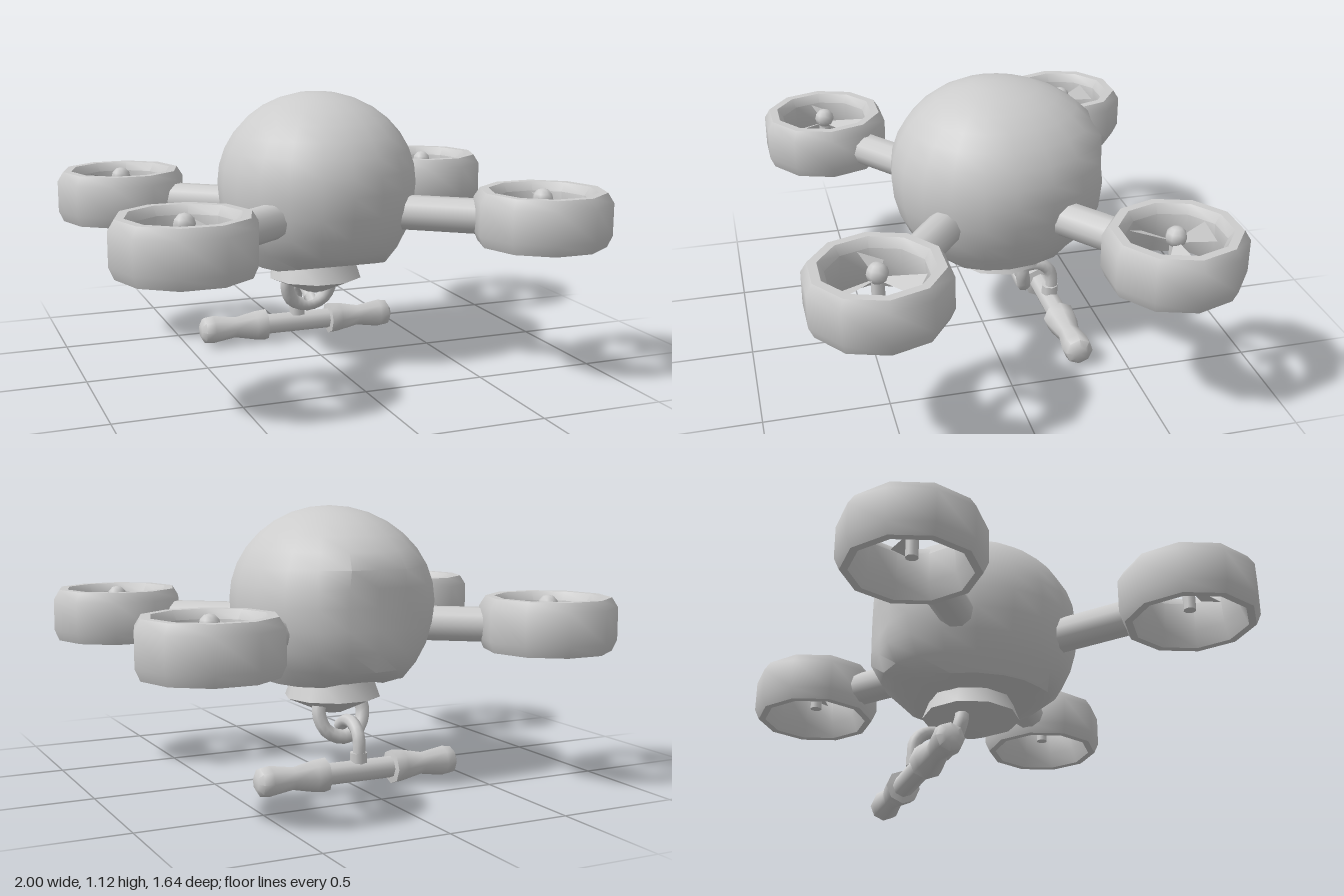
import * as THREE from 'three';
import { mergeVertices, toCreasedNormals } from 'three/addons/utils/BufferGeometryUtils.js';

const gray = new THREE.MeshStandardMaterial({ color: 0xcccccc, side: THREE.DoubleSide });
gray.name = 'light gray';

function part(name, geometry, parent) {
  const mesh = new THREE.Mesh(geometry, gray);
  mesh.name = name;
  parent.add(mesh);
  return mesh;
}

// Turned part from [radius, height] pairs, running bottom to top on the outside
function lathe(profile, sides, phase = 0, crease = 0.9) {
  const points = profile.map(([r, y]) => new THREE.Vector2(r, y));
  return toCreasedNormals(new THREE.LatheGeometry(points, sides, phase), crease);
}

function tube(points, radius, segments) {
  const curve = new THREE.CatmullRomCurve3(points.map((p) => new THREE.Vector3(...p)));
  return new THREE.TubeGeometry(curve, segments, radius, 8);
}

// Egg-shaped hull, cut flat at the back and underneath
function bodyGeometry() {
  let geo = new THREE.SphereGeometry(1, 20, 16);
  geo.deleteAttribute('uv');
  geo.deleteAttribute('normal');
  geo = mergeVertices(geo, 1e-4);
  const pos = geo.attributes.position;
  for (let i = 0; i < pos.count; i++) {
    const x = pos.getX(i) * 0.412;
    const ny = pos.getY(i), nz = pos.getZ(i);
    const z = Math.max(-0.04 + nz * (nz > 0 ? 0.42 : 0.49), -0.47);
    const floor = 0.415 + 0.25 * Math.max(0, z - 0.1) + 0.4 * Math.max(0, -z - 0.26);
    const y = Math.max(0.75 + ny * (ny > 0 ? 0.38 : 0.46), floor);
    pos.setXYZ(i, x, y, z);
  }
  geo.computeVertexNormals();
  return toCreasedNormals(geo, 0.75);
}

// Ducted rotor with its hub and three pitched blades
function rotor(name, spin) {
  const group = new THREE.Group();
  group.name = name;
  part('ductRing', lathe([
    [0.225, 0.555], [0.255, 0.555], [0.275, 0.6], [0.275, 0.73], [0.25, 0.77],
    [0.215, 0.77], [0.19, 0.735], [0.2, 0.62], [0.225, 0.555],
  ], 10, Math.PI / 2), group);
  part('hubStem', new THREE.CylinderGeometry(0.025, 0.025, 0.12, 8).translate(0, 0.67, 0), group);
  part('hubCap', new THREE.SphereGeometry(0.042, 8, 6).translate(0, 0.735, 0), group);

  const outline = new THREE.Shape([
    new THREE.Vector2(0.02, -0.012), new THREE.Vector2(0.16, -0.052),
    new THREE.Vector2(0.17, 0.05), new THREE.Vector2(0.02, 0.012),
  ]);
  for (let i = 0; i < 3; i++) {
    const geo = new THREE.ShapeGeometry(outline).rotateX(-Math.PI / 2 + 0.4);
    const blade = part('blade', geo, group);
    blade.position.y = 0.715;
    blade.rotation.y = -(spin + i * 120) * Math.PI / 180;
  }
  return group;
}

export function createModel() {
  const model = new THREE.Group();
  model.name = 'drone';

  part('body', bodyGeometry(), model);

  // Underside mount
  const mount = lathe([[0, 0.275], [0.05, 0.28], [0.2, 0.345], [0.165, 0.44]], 10, Math.PI / 2);
  part('mount', mount, model).position.z = -0.07;

  // Four arms, each carrying a rotor
  const corners = [
    ['backRight', -1, -1, 5], ['backLeft', 1, -1, 15],
    ['frontRight', -1, 1, 62], ['frontLeft', 1, 1, 60],
  ];
  for (const [name, sx, sz, spin] of corners) {
    const unit = rotor(name + 'Rotor', spin);
    unit.position.set(sx * 0.725, 0, sz * 0.56);
    model.add(unit);

    const arm = part(name + 'Arm', new THREE.CylinderGeometry(0.072, 0.072, 0.4, 10), model);
    const dir = new THREE.Vector3(sx * 0.725, 0, sz * 0.56).normalize();
    arm.quaternion.setFromUnitVectors(new THREE.Vector3(0, 1, 0), dir);
    arm.position.copy(dir).multiplyScalar(0.49).setY(0.65);
  }

  // Hanging loop, and the hook that passes through it
  part('loop', tube([
    [-0.09, 0.35, -0.135], [-0.1, 0.28, -0.15], [-0.07, 0.215, -0.165], [0, 0.188, -0.175],
    [0.07, 0.215, -0.165], [0.1, 0.28, -0.15], [0.09, 0.35, -0.135],
  ], 0.03, 16), model);
  part('hook', tube([
    [0, 0.23, -0.14], [0, 0.262, -0.2], [0, 0.258, -0.26], [0, 0.215, -0.305], [0, 0.08, -0.31],
  ], 0.027, 14), model);

  // Crossbar with a grip at each end
  const handle = new THREE.Group();
  handle.name = 'handle';
  handle.position.set(0, 0.075, -0.305);
  model.add(handle);
  part('crossbar', new THREE.CylinderGeometry(0.045, 0.045, 0.32, 8).rotateZ(Math.PI / 2), handle);
  part('collar', new THREE.CylinderGeometry(0.036, 0.036, 0.04, 8).translate(0, 0.055, 0), handle);
  const grip = lathe([
    [0.04, 0.145], [0.07, 0.15], [0.065, 0.2], [0.046, 0.29],
    [0.062, 0.39], [0.057, 0.43], [0.03, 0.447], [0, 0.447],
  ], 8).rotateZ(-Math.PI / 2);
  part('leftGrip', grip, handle);
  part('rightGrip', grip, handle).rotation.y = Math.PI;

  return model;
}
